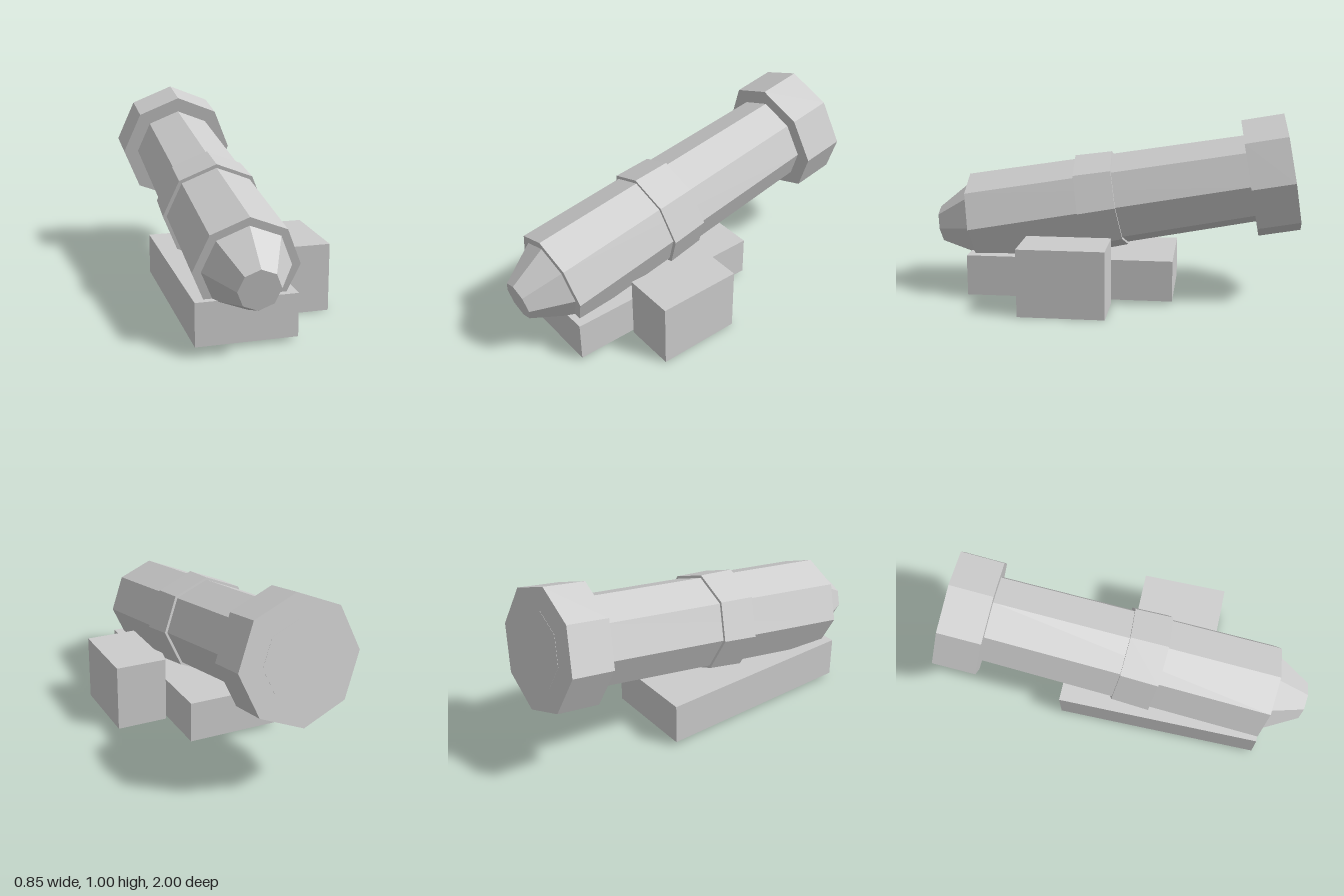
import * as THREE from 'three';

export function createModel() {
  const model = new THREE.Group();
  const grey = new THREE.MeshStandardMaterial({ color: 0xcccccc, flatShading: true });
  grey.name = 'grey';

  // Tilted tube assembly: local +z runs along the axis to the nose
  const tube = new THREE.Group();
  tube.name = 'tube';
  tube.position.set(-0.107, 0.519, 0);
  tube.rotation.x = THREE.MathUtils.degToRad(10);
  model.add(tube);

  // Eight-sided section between two positions on the axis
  function section(name, zBack, zFront, rBack, rFront) {
    const geometry = new THREE.CylinderGeometry(rFront, rBack, zFront - zBack, 8);
    geometry.rotateX(Math.PI / 2);
    const mesh = new THREE.Mesh(geometry, grey);
    mesh.name = name;
    mesh.position.z = (zBack + zFront) / 2;
    tube.add(mesh);
  }
  section('nose', 0.792, 0.997, 0.22, 0.105);
  section('barrel', -0.729, 0.792, 0.238, 0.263);
  section('middleBand', -0.015, 0.187, 0.264, 0.273);
  section('rearHousing', -0.957, -0.729, 0.32, 0.32);
  section('rearDisc', -0.958, -0.954, 0.196, 0.196);

  // Box given by its lower and upper corners
  function box(name, a, b) {
    const mesh = new THREE.Mesh(new THREE.BoxGeometry(b[0] - a[0], b[1] - a[1], b[2] - a[2]), grey);
    mesh.name = name;
    mesh.position.set((a[0] + b[0]) / 2, (a[1] + b[1]) / 2, (a[2] + b[2]) / 2);
    model.add(mesh);
  }
  box('mountingBase', [-0.36, 0.02, -0.32], [0.147, 0.24, 0.79]);
  box('sideBlock', [0.147, 0, 0.005], [0.427, 0.358, 0.46]);

  return model;
}
